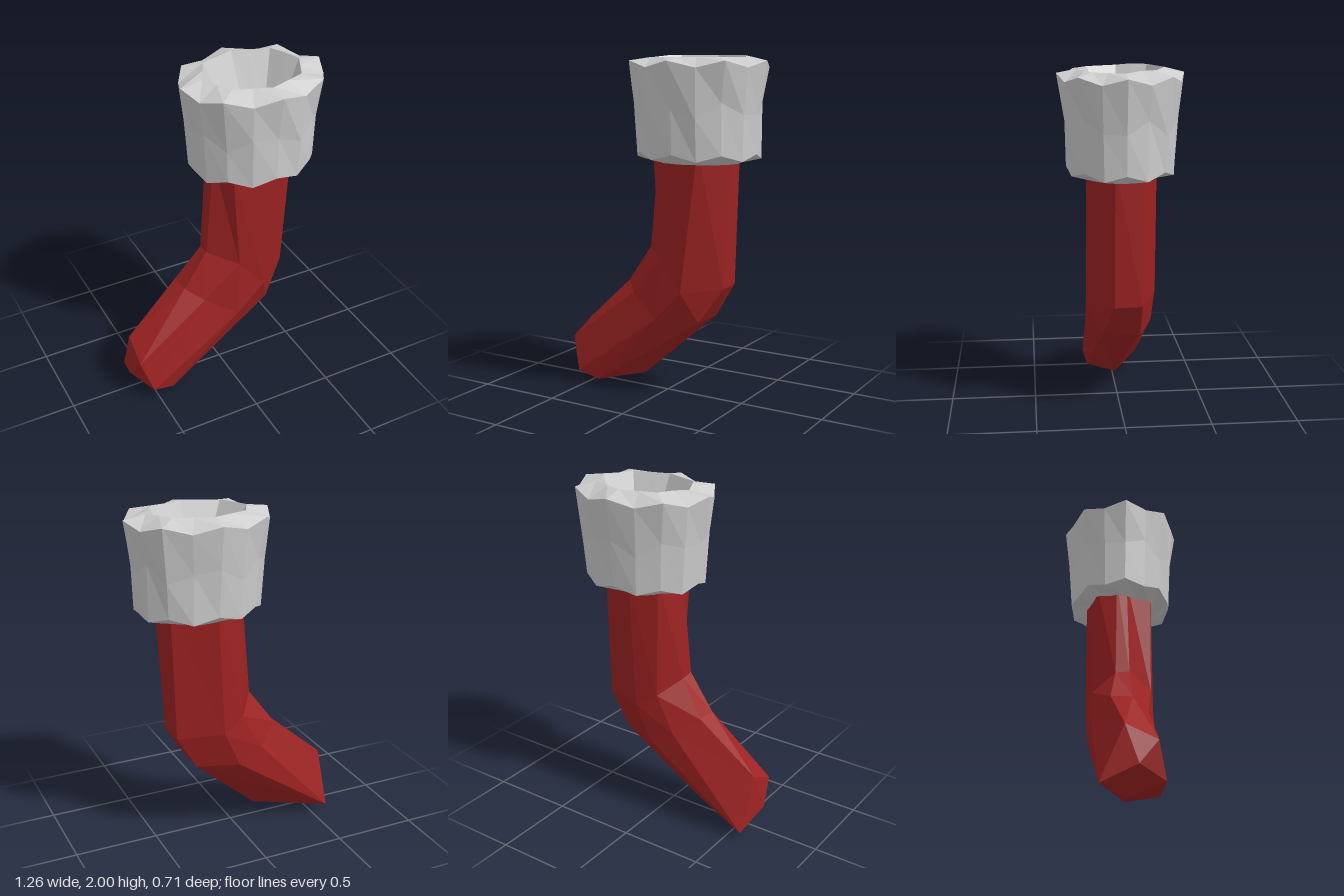
import * as THREE from 'three';

const red = new THREE.MeshStandardMaterial({ color: 0x9d2222, flatShading: true });
red.name = 'red knit';
const white = new THREE.MeshStandardMaterial({ color: 0xcccccc, flatShading: true });
white.name = 'pale fleece';

// Skin a list of rings, each with the same number of [x, y, z] points
function loft(rings, material, name) {
  const n = rings[0].length;
  const index = [];
  for (let r = 0; r < rings.length - 1; r++) {
    for (let i = 0; i < n; i++) {
      const j = (i + 1) % n;
      const a = r * n + i, b = r * n + j, c = a + n, d = b + n;
      index.push(a, c, d, a, d, b);
    }
  }
  const geometry = new THREE.BufferGeometry();
  geometry.setAttribute('position', new THREE.Float32BufferAttribute(rings.flat(2), 3));
  geometry.setIndex(index);
  const flat = geometry.toNonIndexed();
  flat.computeVertexNormals();
  const mesh = new THREE.Mesh(flat, material);
  mesh.name = name;
  return mesh;
}

// Rings run from the instep round the front, the heel side and the back
function makeStocking() {
  const opening = [
    [-0.045, 1.5, 0.02], [0, 1.5, 0.17], [0.31, 1.5, 0.2], [0.45, 1.5, 0.05],
    [0.415, 1.5, -0.11], [0.17, 1.5, -0.21], [0, 1.5, -0.16], [-0.05, 1.5, -0.04],
  ];
  const ankle = [
    [-0.1, 0.88, 0.03], [0.05, 0.83, 0.17], [0.2, 0.66, 0.2], [0.4, 0.68, 0.05],
    [0.39, 0.68, -0.11], [0.13, 0.7, -0.21], [0, 0.78, -0.18], [-0.1, 0.87, -0.05],
  ];
  const heel = [
    [-0.25, 0.66, 0.035], [-0.16, 0.61, 0.13], [0.03, 0.485, 0.195], [0.27, 0.475, 0.11],
    [0.27, 0.475, -0.11], [0.03, 0.48, -0.2], [-0.12, 0.56, -0.185], [-0.25, 0.66, -0.09],
  ];
  const toeTop = [-0.595, 0.365, -0.04], toeBack = [-0.59, 0.045, -0.172];
  const toe = [
    toeTop, [-0.6, 0.28, 0.135], [-0.535, 0.08, 0.18], [-0.4, 0.04, 0.16],
    [-0.16, 0.08, 0], toeBack, toeBack, toeTop,
  ];
  // The toe closes along a single edge from tip to sole
  const tip = [-0.63, 0.14, 0.03], sole = [-0.49, 0, -0.02];
  const toeEdge = [tip, tip, tip, sole, sole, sole, tip, tip];
  return loft([opening, ankle, heel, toe, toeEdge], red, 'stocking');
}

// Elliptical cuff ring; y and scale may vary with the point number
function cuffRing(cx, rx, rz, y, scale = () => 1) {
  return Array.from({ length: 16 }, (_, i) => {
    const a = (i / 16) * Math.PI * 2, s = scale(i);
    return [cx - Math.cos(a) * rx * s, y(i), Math.sin(a) * rz * s];
  });
}

function makeCuff() {
  const odd = (i) => i % 2 === 1;
  const octagon = (i) => (odd(i) ? Math.cos(Math.PI / 8) : 1);
  const pleats = (i) => (odd(i) ? 0.96 : 1);
  const dents = (i) => 1 + 0.025 * Math.sin(i * 2.7);
  return loft([
    // Bowl-shaped hollow, from the bottom up to the rim
    cuffRing(0.24, 0, 0, () => 1.61),
    cuffRing(0.22, 0.18, 0.135, () => 1.73, octagon),
    cuffRing(0.2, 0.3, 0.242, (i) => (i > 8 ? 2 : 1.99), octagon),
    // Wavy rim, waist and hem
    cuffRing(0.2, 0.43, 0.353, (i) => (odd(i) ? 1.935 : 1.972), pleats),
    cuffRing(0.2, 0.382, 0.318, (i) => 1.7 + 0.05 * Math.sin(i * 2.3), dents),
    cuffRing(0.205, 0.37, 0.305, (i) => (odd(i) ? 1.425 : 1.46)),
    // Underside closing onto the leg
    cuffRing(0.2, 0.26, 0.21, () => 1.4),
    cuffRing(0.2, 0, 0, () => 1.42),
  ], white, 'cuff');
}

export function createModel() {
  const group = new THREE.Group();
  group.name = 'winterStocking';
  group.add(makeStocking(), makeCuff());
  return group;
}
